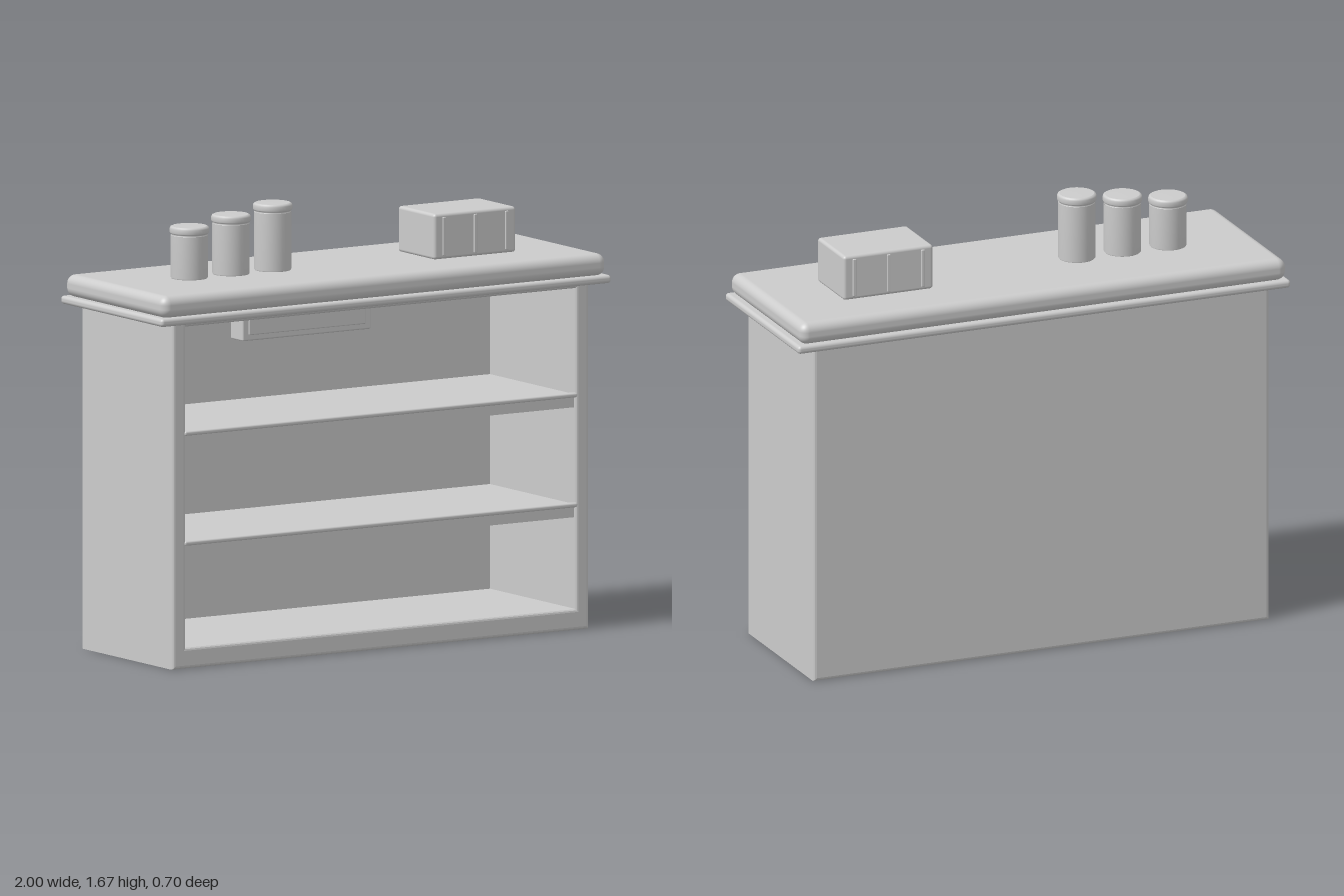
import * as THREE from 'three';
import { RoundedBoxGeometry } from 'three/addons/geometries/RoundedBoxGeometry.js';

export function createModel() {
  const group = new THREE.Group();
  group.name = 'shopCounter';
  const grey = new THREE.MeshStandardMaterial({ color: 0xcccccc });
  grey.name = 'plain grey';

  const add = (name, geometry, x = 0, y = 0, z = 0) => {
    const mesh = new THREE.Mesh(geometry, grey);
    mesh.name = name;
    mesh.position.set(x, y, z);
    group.add(mesh);
    return mesh;
  };

  // Rounded block given by its extents; sharp when r is 0
  const block = (name, [x0, x1], [y0, y1], [z0, z1], r = 0) => {
    const size = [x1 - x0, y1 - y0, z1 - z0];
    const geometry = r ? new RoundedBoxGeometry(...size, 4, r) : new THREE.BoxGeometry(...size);
    return add(name, geometry, (x0 + x1) / 2, (y0 + y1) / 2, (z0 + z1) / 2);
  };

  const rect = (path, x, y0, y1) => {
    path.moveTo(-x, y0);
    path.lineTo(x, y0);
    path.lineTo(x, y1);
    path.lineTo(-x, y1);
    path.closePath();
    return path;
  };

  // Carcass: bevelled frame, open at the front
  const b = 0.012;
  const frame = rect(new THREE.Shape(), 0.925 - b, b, 1.32 - b);
  frame.holes.push(rect(new THREE.Path(), 0.865 + b, 0.08 - b, 1.3 + 0.002));
  add('carcassFrame', new THREE.ExtrudeGeometry(frame, {
    depth: 0.63 - 2 * b, bevelEnabled: true, bevelSize: b, bevelThickness: b, bevelSegments: 3,
  }), 0, 0, -0.32 + b);
  block('backPanel', [-0.9, 0.9], [0.05, 1.305], [-0.3205, -0.28]);

  // Two shelves, each with a rounded nosing along the front
  for (const top of [0.89, 0.475]) {
    block('shelf', [-0.867, 0.867], [top - 0.05, top], [-0.29, 0.298]);
    block('shelfNosing', [-0.872, 0.872], [top - 0.011, top + 0.006], [0.288, 0.314], 0.007);
  }

  // Drawer fixed high up at the back of the top compartment
  block('drawer', [-0.285, 0.285], [1.12, 1.29], [-0.285, -0.2], 0.006);
  block('drawerFace', [-0.26, 0.26], [1.142, 1.267], [-0.21, -0.194], 0.004);

  // Counter top with a trim moulding below it
  block('trim', [-1, 1], [1.304, 1.335], [-0.35, 0.35], 0.013);
  block('counterTop', [-0.988, 0.985], [1.332, 1.416], [-0.343, 0.343], 0.034);

  // Three lidded jars rising in height
  [1.613, 1.642, 1.67].forEach((top, i) => {
    const profile = [
      [0, 1.412], [0.064, 1.412], [0.07, 1.42], [0.07, top - 0.034], [0.067, top - 0.03],
      [0.071, top - 0.028], [0.074, top - 0.023], [0.074, top - 0.009],
      [0.071, top - 0.003], [0.065, top], [0, top],
    ].map(([r, y]) => new THREE.Vector2(r, y));
    // Doubled corner points keep the flat lid and body crisp
    const crisp = profile.flatMap((p, k) => (k === 3 || k === 9 ? [p, p.clone().addScalar(-0.0004)] : [p]));
    add('jar', new THREE.LatheGeometry(crisp, 32), -0.645 + i * 0.185, 0, -0.01);
  });

  // Box with upright battens on front and back
  block('box', [0.36, 0.724], [1.414, 1.587], [-0.134, 0.118], 0.012);
  for (const x of [0.403, 0.542, 0.681]) {
    for (const z of [-0.135, 0.119]) {
      block('boxBatten', [x - 0.007, x + 0.007], [1.428, 1.574], [z - 0.005, z + 0.005], 0.003);
    }
  }

  return group;
}
